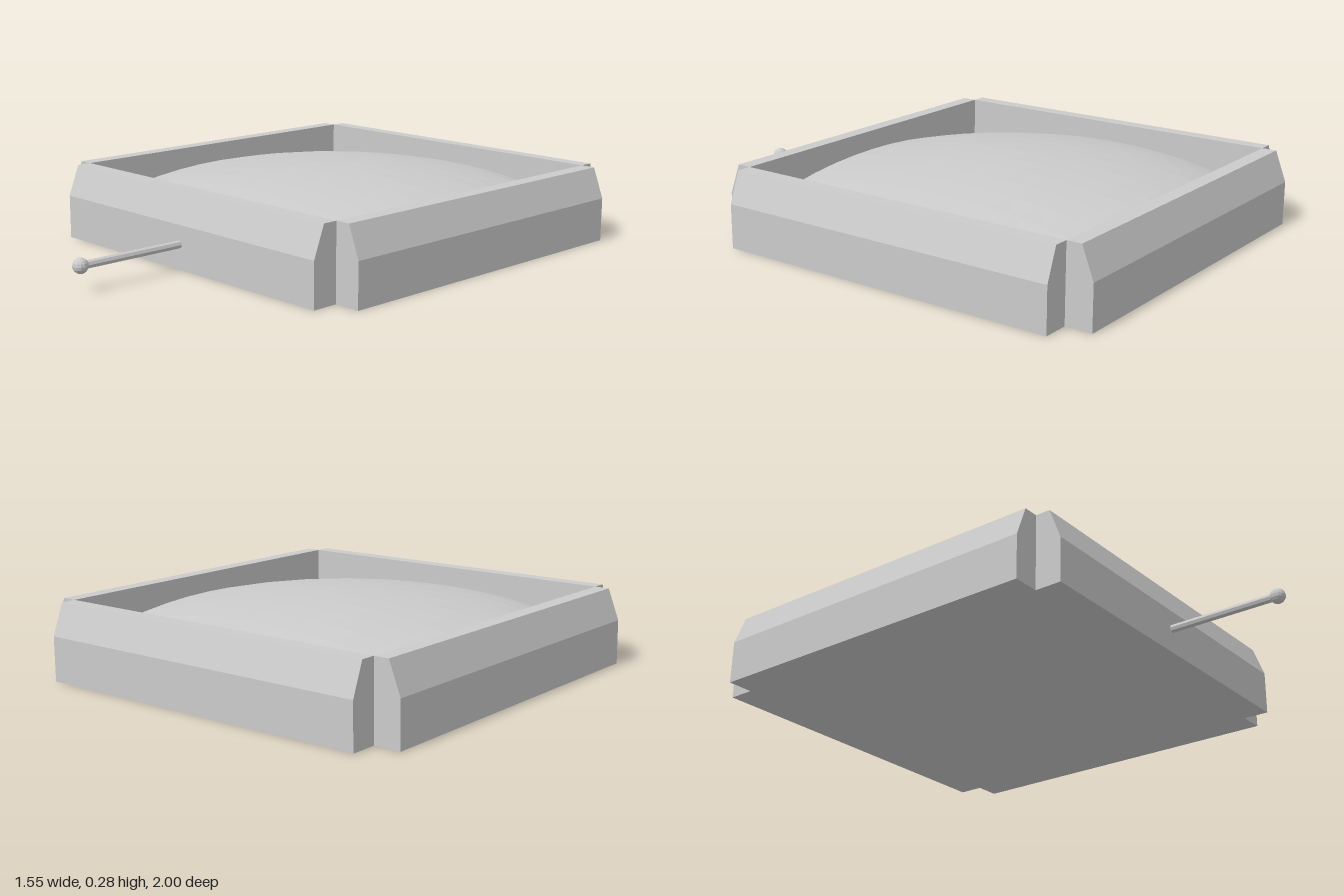
import * as THREE from 'three';

const HALF = 0.675;      // half width of the square inner well
const CENTER_Z = -0.225; // middle of the tray

export function createModel() {
  const group = new THREE.Group();
  const material = new THREE.MeshStandardMaterial({ color: 0xcccccc, flatShading: true });
  const domeMaterial = material.clone();
  domeMaterial.side = THREE.DoubleSide;

  const add = (name, geometry, parent = group, mat = material) => {
    const mesh = new THREE.Mesh(geometry, mat);
    mesh.name = name;
    parent.add(mesh);
    return mesh;
  };

  const tray = new THREE.Group();
  tray.name = 'tray';
  tray.position.z = CENTER_Z;
  group.add(tray);

  // Four walls with a sloped outer top edge, leaving notched corners
  const profile = new THREE.Shape([
    [HALF, 0], [0.775, 0], [0.775, 0.165], [0.731, 0.28], [HALF, 0.28],
  ].map(([x, y]) => new THREE.Vector2(x, y)));
  const wall = new THREE.ExtrudeGeometry(profile, { depth: 2 * HALF, bevelEnabled: false });
  wall.translate(0, 0, -HALF);
  ['leftWall', 'backWall', 'rightWall', 'frontWall'].forEach((name, i) => {
    add(name, wall, tray).rotation.y = i * Math.PI / 2;
  });

  // Flat floor closing the underside
  const floor = new THREE.BoxGeometry(2 * HALF, 0.02, 2 * HALF);
  floor.translate(0, 0.01, 0);
  add('floor', floor, tray);

  // Bulging panel: square cut from a flattened sphere
  const dome = new THREE.PlaneGeometry(2 * HALF, 2 * HALF, 12, 12);
  dome.rotateX(-Math.PI / 2);
  const p = dome.attributes.position;
  for (let i = 0; i < p.count; i++) {
    const d2 = p.getX(i) ** 2 + p.getZ(i) ** 2;
    p.setY(i, 0.277 * Math.sqrt(1 - d2));
  }
  dome.computeVertexNormals();
  add('domedPanel', dome, tray, domeMaterial);

  // Rod with a ball tip sticking out of the front wall
  const lever = new THREE.Group();
  lever.name = 'lever';
  lever.position.set(-0.006, 0.094, 0);
  group.add(lever);
  const rod = new THREE.CylinderGeometry(0.015, 0.015, 0.47, 8);
  rod.rotateX(Math.PI / 2);
  add('rod', rod, lever).position.z = 0.735;
  const ball = new THREE.SphereGeometry(0.028, 12, 8);
  add('ballTip', ball, lever).position.z = 0.972;

  return group;
}
